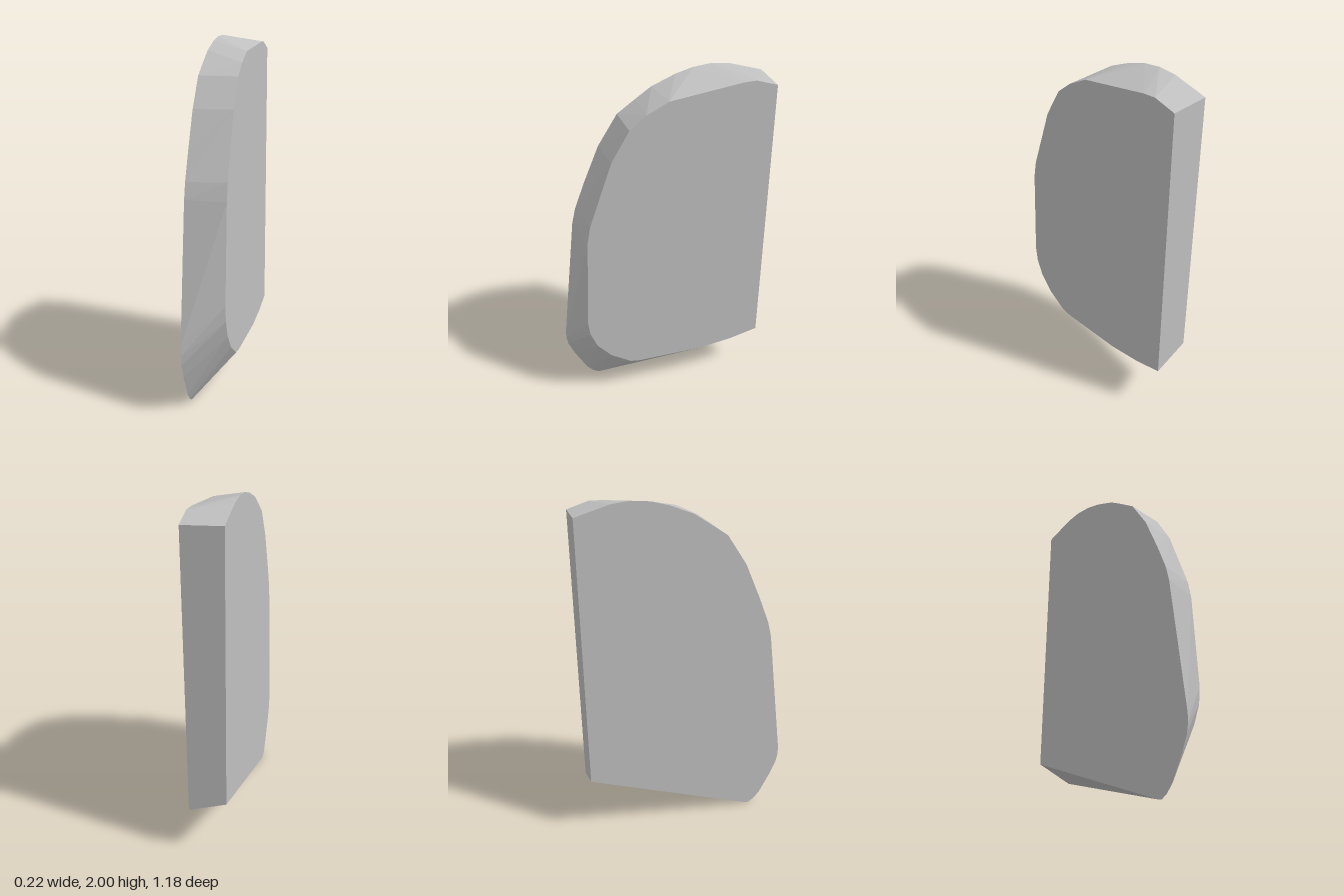
import * as THREE from 'three';
import { ConvexGeometry } from 'three/addons/geometries/ConvexGeometry.js';

// Half thickness of the panel along x
const HALF = 0.108;

// Larger outline on the right side, as [z, y]
const wideOutline = [
  [-0.59, 0.37], [0.38, 0.005], [0.405, 0], [0.44, 0.02], [0.48, 0.065],
  [0.55, 0.2], [0.585, 0.285], [0.595, 0.34], [0.594, 0.39], [0.5, 1.16],
  [0.478, 1.25], [0.42, 1.4], [0.33, 1.61], [0.22, 1.78], [0.12, 1.85],
  [0.03, 1.91], [-0.1, 1.963], [-0.2, 1.99], [-0.3, 2], [-0.4, 1.99], [-0.59, 1.935],
];

// Smaller outline on the left side, as [z, y]
const narrowOutline = [
  [-0.59, 0.29], [-0.42, 0.25], [-0.22, 0.225], [0.18, 0.225], [0.24, 0.235],
  [0.36, 0.315], [0.44, 0.41], [0.48, 0.51], [0.49, 0.6], [0.46, 1.15],
  [0.44, 1.25], [0.31, 1.61], [0.21, 1.775], [0.12, 1.845], [0.0, 1.905],
  [-0.4, 1.96], [-0.47, 1.962], [-0.59, 1.925],
];

const atX = (outline, x) => outline.map(([z, y]) => new THREE.Vector3(x, y, z));

export function createModel() {
  const group = new THREE.Group();
  group.name = 'bevelledPanel';

  const grey = new THREE.MeshStandardMaterial({ color: 0xc0c0c0 });
  grey.name = 'grey';

  // Solid slab whose slanted rim joins the two outlines
  const panel = new THREE.Mesh(
    new ConvexGeometry([...atX(wideOutline, -HALF), ...atX(narrowOutline, HALF)]),
    grey,
  );
  panel.name = 'panel';
  group.add(panel);
  return group;
}
